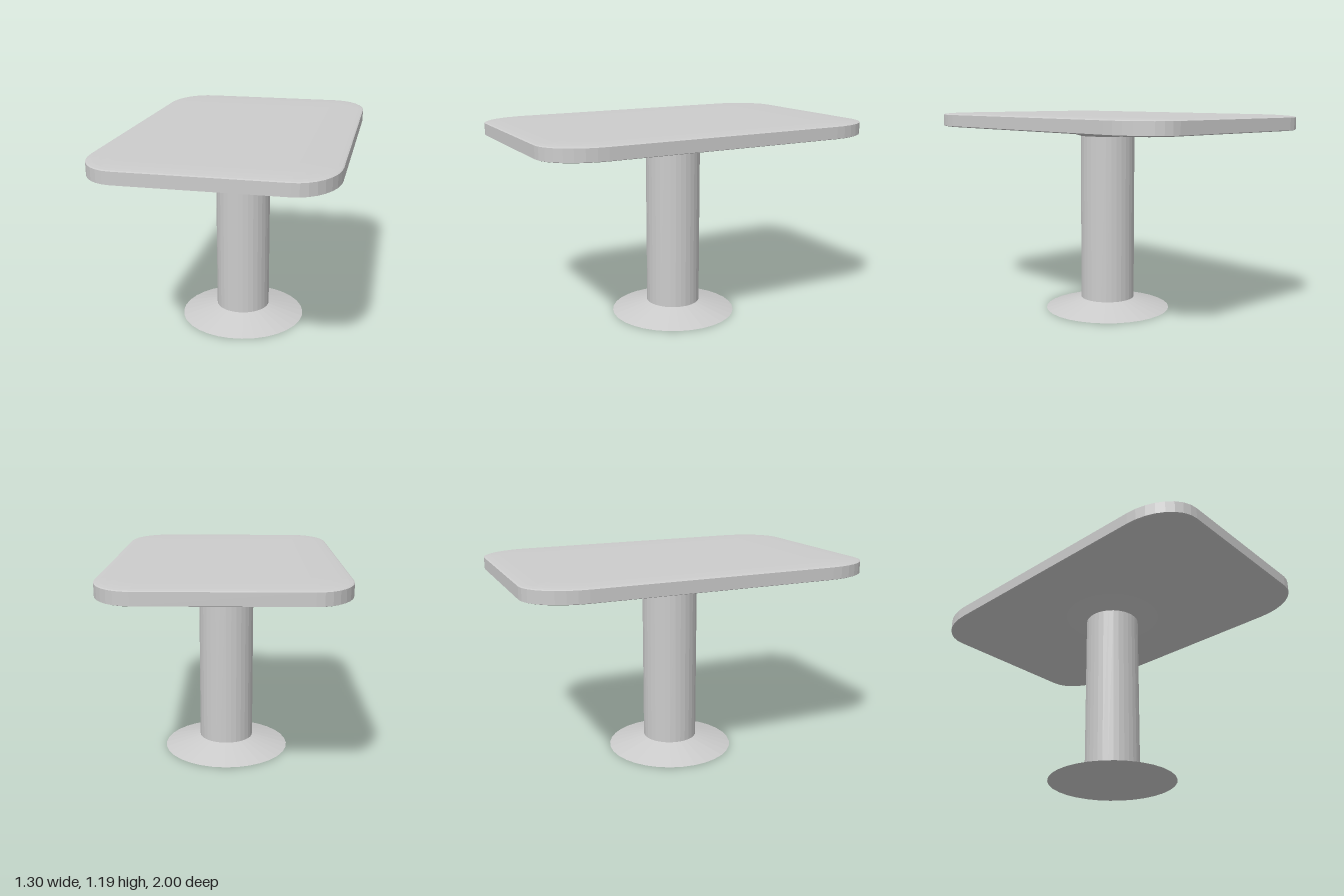
import * as THREE from 'three';

const material = new THREE.MeshStandardMaterial({ color: 0xcccccc, flatShading: true });

// Rounded slab: straight core plus elliptical corners, with shallow domed rims.
function slabGeometry() {
  const core = [0.435, 0.7], radius = [0.215, 0.3];
  const low = 1.108, high = 1.176, rim = 0.013;
  const cornerSteps = 8, rimSteps = 6;
  const rings = [];
  for (let i = rimSteps; i >= 0; i--) {
    const a = (i / rimSteps) * Math.PI / 2;
    rings.push([Math.cos(a), low - rim * Math.sin(a)]);
  }
  for (let i = 0; i <= rimSteps; i++) {
    const a = (i / rimSteps) * Math.PI / 2;
    rings.push([Math.cos(a), high + rim * Math.sin(a)]);
  }

  const positions = [], index = [];
  const signs = [[1, 1], [-1, 1], [-1, -1], [1, -1]];
  for (const [spread, y] of rings) {
    signs.forEach(([sx, sz], quarter) => {
      for (let k = 0; k <= cornerSteps; k++) {
        const a = (quarter + k / cornerSteps) * Math.PI / 2;
        positions.push(
          sx * core[0] + radius[0] * spread * Math.cos(a), y,
          sz * core[1] + radius[1] * spread * Math.sin(a));
      }
    });
  }
  const n = 4 * (cornerSteps + 1), last = (rings.length - 1) * n;
  for (let r = 0; r < rings.length - 1; r++) {
    for (let i = 0; i < n; i++) {
      const a = r * n + i, b = r * n + (i + 1) % n;
      index.push(a, a + n, b, b, a + n, b + n);
    }
  }
  // Flat centres of the underside and the upper face
  const bottom = positions.length / 3, top = bottom + 1;
  positions.push(0, low - rim, 0, 0, high + rim, 0);
  for (let i = 0; i < n; i++) {
    const j = (i + 1) % n;
    index.push(bottom, i, j, top, last + j, last + i);
  }
  const geometry = new THREE.BufferGeometry();
  geometry.setAttribute('position', new THREE.Float32BufferAttribute(positions, 3));
  geometry.setIndex(index);
  geometry.computeVertexNormals();
  return geometry;
}

export function createModel() {
  const group = new THREE.Group();
  const add = (name, geometry, y = 0) => {
    const mesh = new THREE.Mesh(geometry, material);
    mesh.name = name;
    mesh.position.y = y;
    group.add(mesh);
  };
  const sides = 32;

  add('tableTop', slabGeometry());
  // Flared foot, straight column and the flare under the top
  add('foot', new THREE.CylinderGeometry(0.162, 0.377, 0.064, sides), 0.032);
  add('column', new THREE.CylinderGeometry(0.162, 0.162, 0.992, sides, 1, true), 0.56);
  add('topFlare', new THREE.CylinderGeometry(0.377, 0.162, 0.064, sides), 1.088);
  return group;
}
